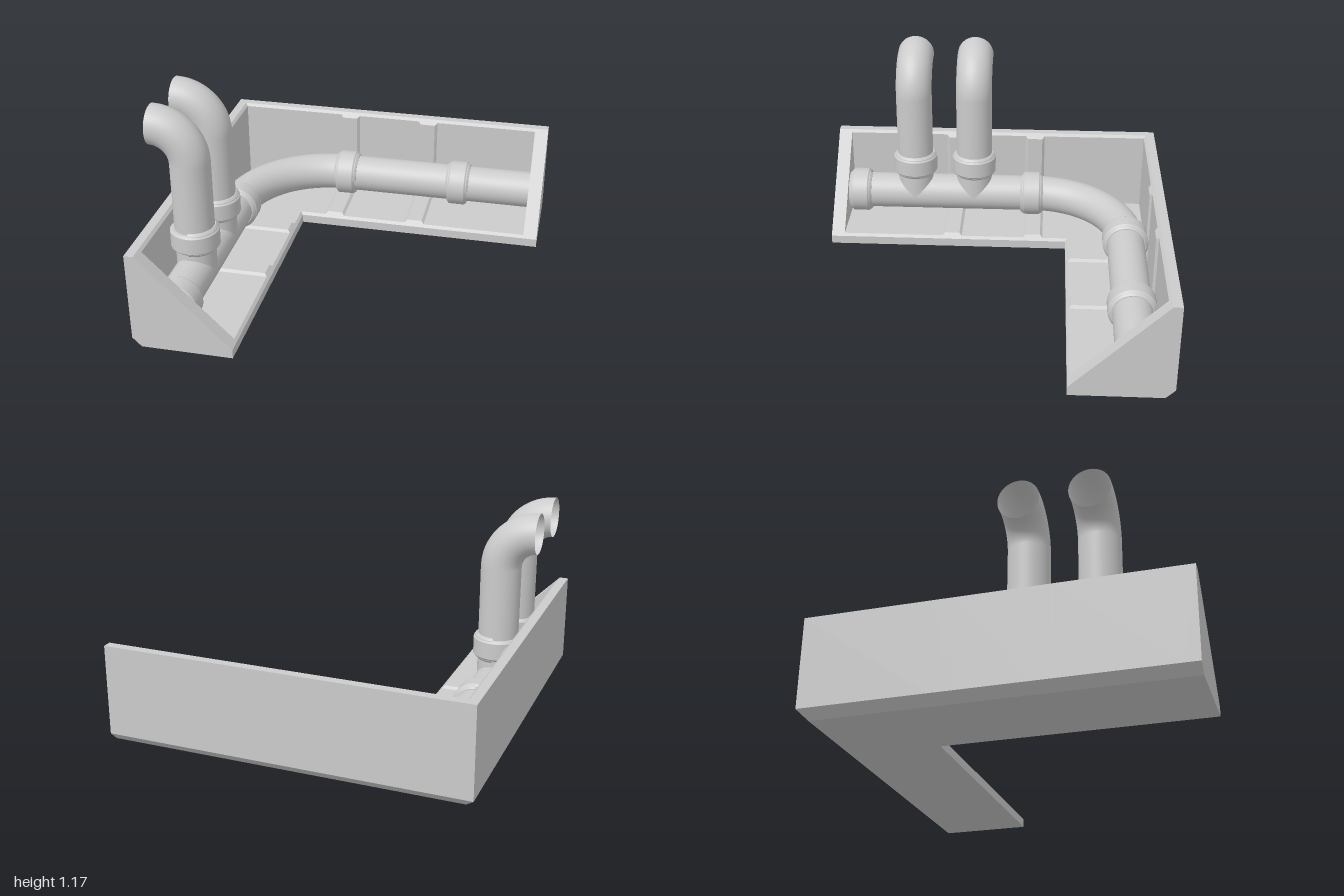
import * as THREE from 'three';

const WALL = 0.92;      // inner face of the tray end walls
const R = 0.11;         // pipe radius
const AXIS_Y = 0.2;     // height of the main pipe axis
const AXIS = -0.8;      // distance of the pipe axis from the centre lines

const metal = new THREE.MeshStandardMaterial({ color: 0xcccccc });
const metalTwoSided = new THREE.MeshStandardMaterial({ color: 0xcccccc, side: THREE.DoubleSide });
const metalFlat = new THREE.MeshStandardMaterial({ color: 0xcccccc, flatShading: true });

function add(parent, name, geometry, material = metal) {
  const mesh = new THREE.Mesh(geometry, material);
  mesh.name = name;
  parent.add(mesh);
  return mesh;
}

// Tray section as [distance from outer wall, height]; t thickens the inner lining.
const section = (t) => [
  [0, 0.05], [0.05, 0], [0.55, 0], [0.55, 0.05],
  [0.535 - t, 0.065 + t], [0.065 + t, 0.065 + t], [0.065 + t, 0.535 - t],
  [0.05, 0.55], [0, 0.55],
];

// One arm of the tray, swept from the mitred corner to the end wall.
function armGeometry(alongX) {
  const stations = [{ corner: true, t: 0 }];
  for (const c of [-0.25, 0.25]) {
    for (const [o, t] of [[-0.06, 0], [-0.045, 0.014], [0.045, 0.014], [0.06, 0]]) {
      stations.push({ s: c + o, t });
    }
  }
  stations.push({ s: WALL, t: 0 });
  const rings = stations.map(({ corner, s, t }) => section(t).map(([d, y]) => {
    const along = corner ? d - 1 : s;
    return alongX ? [along, y, d - 1] : [d - 1, y, along];
  }));
  const pos = [];
  for (let k = 0; k < rings.length - 1; k++) {
    const n = rings[k].length;
    for (let i = 0; i < n; i++) {
      const j = (i + 1) % n;
      const a = rings[k][i], b = rings[k][j], c = rings[k + 1][j], d = rings[k + 1][i];
      const tris = alongX ? [a, c, b, a, d, c] : [a, b, c, a, c, d];
      tris.forEach((p) => pos.push(...p));
    }
  }
  const g = new THREE.BufferGeometry();
  g.setAttribute('position', new THREE.Float32BufferAttribute(pos, 3));
  g.computeVertexNormals();
  return g;
}

// Sloped wall closing the end of an arm.
function endWallGeometry() {
  const outline = [[0, 0.05], [0.05, 0], [0.55, 0], [0.55, 0.05], [0.05, 0.55], [0, 0.55]];
  const shape = new THREE.Shape(outline.map(([d, y]) => new THREE.Vector2(d, y)));
  return new THREE.ExtrudeGeometry(shape, { depth: 1 - WALL, bevelEnabled: false });
}

// Straight open pipe along y from a to b.
function pipeGeometry(a, b) {
  return new THREE.CylinderGeometry(R, R, b - a, 40, 1, true).translate(0, (a + b) / 2, 0);
}

// Bevelled collar profile revolved about y, over part or all of the turn.
function collarGeometry(radius, length, start = 0, sweep = Math.PI * 2) {
  const h = length / 2, b = 0.012;
  const pts = [[R - 0.01, -h], [radius - b, -h], [radius, -h + b], [radius, h - b], [radius - b, h], [R - 0.01, h]];
  // Doubled points keep the bevel edges sharp.
  const profile = pts.flatMap(([x, y], i) => {
    const v = new THREE.Vector2(x, y);
    if (i === 0 || i === pts.length - 1) return [v];
    const toward = (q) => v.clone().lerp(new THREE.Vector2(...q), 0.02);
    return [toward(pts[i - 1]), toward(pts[i + 1])];
  });
  return new THREE.LatheGeometry(profile, 40, start, sweep);
}

// Coupling: full collar plus a slightly longer half shell.
function coupling(name, lipStart) {
  const g = new THREE.Group();
  g.name = name;
  add(g, 'collar', collarGeometry(0.135, 0.118));
  add(g, 'halfShell', collarGeometry(0.127, 0.142, lipStart, Math.PI), metalTwoSided);
  return g;
}

export function createModel() {
  const model = new THREE.Group();
  model.name = 'pipeTray';

  // Corner tray
  const tray = new THREE.Group();
  tray.name = 'tray';
  model.add(tray);
  add(tray, 'frontArm', armGeometry(false), metalFlat);
  add(tray, 'sideArm', armGeometry(true), metalFlat);
  add(tray, 'frontEndWall', endWallGeometry(), metalFlat).position.set(-1, 0, WALL);
  const sideEnd = add(tray, 'sideEndWall', endWallGeometry(), metalFlat);
  sideEnd.rotation.y = -Math.PI / 2;
  sideEnd.position.set(1, 0, -1);

  // Main pipe: two straight runs joined by a wide bend
  const main = new THREE.Group();
  main.name = 'mainPipe';
  model.add(main);
  add(main, 'frontRun', pipeGeometry(-0.25, WALL).rotateX(Math.PI / 2), metalTwoSided)
    .position.set(AXIS, AXIS_Y, 0);
  add(main, 'sideRun', pipeGeometry(-WALL, 0.25).rotateZ(Math.PI / 2), metalTwoSided)
    .position.set(0, AXIS_Y, AXIS);
  add(main, 'bend', new THREE.TorusGeometry(0.55, R, 40, 32, Math.PI / 2)
    .rotateZ(Math.PI / 2).rotateX(-Math.PI / 2)).position.set(-0.25, AXIS_Y, -0.25);

  // Couplings on the main pipe
  for (const x of [-0.235, 0.475]) {
    const c = coupling('sideCoupling', 0);
    c.rotation.z = Math.PI / 2;
    c.position.set(x, AXIS_Y, AXIS);
    main.add(c);
  }
  for (const z of [-0.235, 0.85]) {
    const c = coupling('frontCoupling', 0);
    c.rotation.x = Math.PI / 2;
    c.position.set(AXIS, AXIS_Y, z);
    main.add(c);
  }

  // Two risers with open elbows turning over the outer wall
  for (const z of [0.13, 0.5]) {
    const riser = new THREE.Group();
    riser.name = 'riser';
    riser.position.set(AXIS, 0, z);
    add(riser, 'riserPipe', pipeGeometry(AXIS_Y, 0.86), metalTwoSided);
    add(riser, 'elbow', new THREE.TorusGeometry(0.2, R, 40, 24, Math.PI / 2), metalTwoSided)
      .position.set(-0.2, 0.86, 0);
    const c = coupling('riserCoupling', 0);
    c.position.y = 0.41;
    riser.add(c);
    model.add(riser);
  }
  return model;
}
